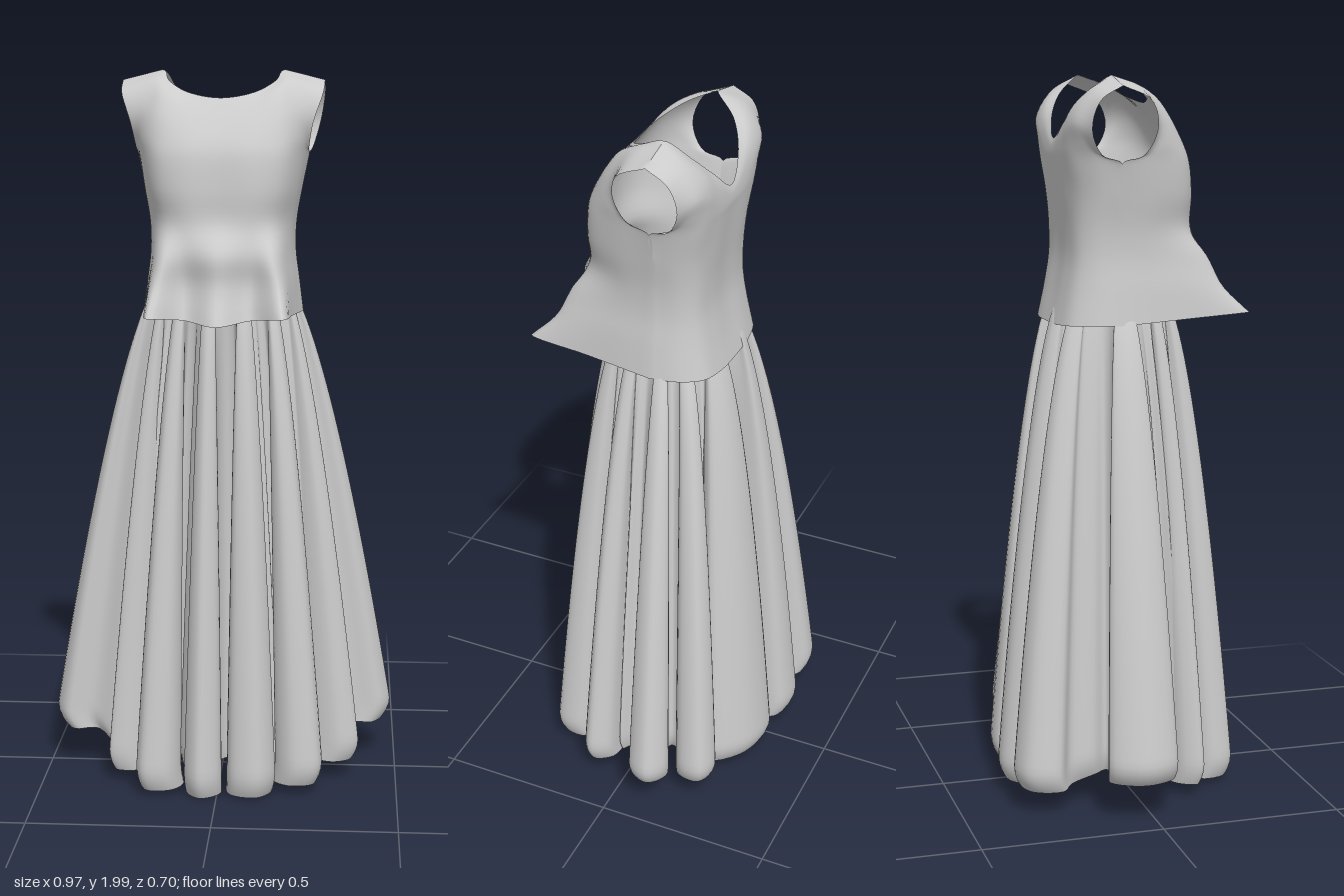
import * as THREE from 'three';
import { mergeGeometries, mergeVertices } from 'three/addons/utils/BufferGeometryUtils.js';

const V = (x, y, z) => new THREE.Vector3(x, y, z);

// Grid surface from rows of points
function gridGeometry(rows, closed) {
  const n = rows[0].length, pos = [], index = [];
  rows.forEach(r => r.forEach(p => pos.push(p.x, p.y, p.z)));
  for (let j = 0; j < rows.length - 1; j++) {
    for (let i = 0; i < (closed ? n : n - 1); i++) {
      const a = j * n + i, b = j * n + (i + 1) % n;
      index.push(a, b, a + n, b, b + n, a + n);
    }
  }
  const g = new THREE.BufferGeometry();
  g.setAttribute('position', new THREE.Float32BufferAttribute(pos, 3));
  g.setIndex(index);
  return g;
}

// Both panels meet on one straight shoulder seam
const NECK = 0.17;
const shoulderPoint = x => [x, 2.0 - 0.25 * (Math.abs(x) - NECK), -0.05];
const shoulder = [shoulderPoint(NECK), shoulderPoint(0.28)];

// Half rows (centre to side) are mirrored, smoothed across, then smoothed upwards
function panel(halfRows, flip) {
  const across = halfRows.map(half => {
    const pts = half.map(p => V(...p));
    const mirrored = pts.slice(1).reverse().map(p => V(-p.x, p.y, p.z));
    return new THREE.CatmullRomCurve3([...mirrored, ...pts]);
  });
  const NX = 48, NY = 40, rows = [];
  for (let j = 0; j <= NY; j++) rows.push([]);
  for (let i = 0; i <= NX; i++) {
    const s = flip ? 1 - i / NX : i / NX;
    const points = across.map(c => c.getPoint(s));
    const end = points[points.length - 1];
    if (Math.abs(end.x) > NECK) end.set(...shoulderPoint(end.x));
    const column = new THREE.CatmullRomCurve3(points);
    for (let j = 0; j <= NY; j++) rows[j].push(column.getPoint(j / NY));
  }
  return gridGeometry(rows, false);
}

// A level row given as [x, z] pairs
const level = (y, pairs) => pairs.map(([x, z]) => [x, y, z]);

function bodiceGeometry() {
  // Front: flared peplum hem, bust, round armhole and round neckline
  const front = [
    [[0, 1.33, 0.315], [0.09, 1.34, 0.25], [0.178, 1.355, 0.345], [0.2, 1.345, 0.16], [0.225, 1.335, -0.03]],
    level(1.43, [[0, 0.265], [0.09, 0.22], [0.165, 0.27], [0.197, 0.12], [0.213, -0.03]]),
    level(1.51, [[0, 0.26], [0.09, 0.225], [0.15, 0.23], [0.19, 0.09], [0.203, -0.03]]),
    level(1.59, [[0, 0.205], [0.09, 0.2], [0.15, 0.165], [0.192, 0.07], [0.205, -0.03]]),
    level(1.68, [[0, 0.2], [0.1, 0.2], [0.165, 0.165], [0.205, 0.08], [0.22, -0.04]]),
    level(1.77, [[0, 0.19], [0.1, 0.19], [0.17, 0.16], [0.215, 0.08], [0.238, -0.04]]),
    [[0, 1.81, 0.175], [0.1, 1.81, 0.175], [0.17, 1.82, 0.145], [0.215, 1.82, 0.09], [0.238, 1.79, 0.02]],
    [[0, 1.86, 0.142], [0.1, 1.87, 0.138], [0.165, 1.89, 0.115], [0.205, 1.89, 0.085], [0.25, 1.86, 0.055]],
    [[0, 1.895, 0.115], [0.09, 1.91, 0.105], [0.155, 1.945, 0.075], [0.19, 1.965, 0.035], [0.275, 1.935, 0.03]],
    [[0, 1.925, 0.09], [0.09, 1.94, 0.07], [0.145, 1.97, 0.02], ...shoulder],
  ];
  // Back: fitted waist, round armhole and V neckline
  const back = [
    [[0, 1.33, -0.19], [0.1, 1.33, -0.185], [0.17, 1.333, -0.165], [0.21, 1.335, -0.11], [0.225, 1.335, -0.03]],
    level(1.43, [[0, -0.165], [0.09, -0.165], [0.16, -0.148], [0.198, -0.1], [0.213, -0.03]]),
    level(1.51, [[0, -0.152], [0.09, -0.152], [0.155, -0.138], [0.188, -0.1], [0.203, -0.03]]),
    level(1.59, [[0, -0.152], [0.09, -0.152], [0.155, -0.138], [0.19, -0.1], [0.205, -0.03]]),
    level(1.68, [[0, -0.16], [0.1, -0.16], [0.17, -0.14], [0.205, -0.1], [0.22, -0.04]]),
    level(1.77, [[0, -0.17], [0.1, -0.17], [0.18, -0.155], [0.22, -0.115], [0.238, -0.04]]),
    [[0, 1.785, -0.172], [0.1, 1.8, -0.173], [0.175, 1.82, -0.165], [0.22, 1.825, -0.145], [0.248, 1.79, -0.095]],
    [[0, 1.8, -0.172], [0.095, 1.835, -0.172], [0.165, 1.87, -0.17], [0.215, 1.88, -0.16], [0.268, 1.86, -0.13]],
    [[0, 1.815, -0.17], [0.088, 1.865, -0.165], [0.15, 1.92, -0.15], [0.2, 1.955, -0.12], [0.28, 1.935, -0.11]],
    [[0, 1.83, -0.165], [0.08, 1.89, -0.148], [0.135, 1.95, -0.11], ...shoulder],
  ];
  const g = mergeVertices(mergeGeometries([panel(front, false), panel(back, true)]), 1e-3);
  g.computeVertexNormals();
  return g;
}

// Hem folds in order round the body: outer tip x, z, half width, then inner valley x, z, half width
const folds = [
  [0.495, -0.13, 0.055, 0.29, 0.0, 0.03],
  [0.4, 0.1, 0.045, 0.22, 0.11, 0.03],
  [0.285, 0.255, 0.06, 0.16, 0.13, 0.03],
  [0.12, 0.315, 0.065, 0.02, 0.05, 0.05],
  [-0.05, 0.32, 0.05, -0.1, 0.06, 0.035],
  [-0.21, 0.3, 0.055, -0.2, 0.15, 0.02],
  [-0.315, 0.18, 0.035, -0.26, 0.1, 0.02],
  [-0.495, -0.04, 0.095, -0.25, -0.09, 0.03],
  [-0.33, -0.335, 0.075, -0.2, -0.16, 0.03],
  [-0.13, -0.36, 0.08, 0.0, -0.08, 0.06],
  [0.16, -0.325, 0.12, 0.2, -0.15, 0.03],
  [0.395, -0.26, 0.055, 0.28, -0.12, 0.03],
];

function skirtGeometry() {
  const tips = folds.map(f => Math.atan2(f[1], f[0]));
  for (let i = 1; i < tips.length; i++) while (tips[i] < tips[i - 1]) tips[i] += 2 * Math.PI;
  const hem = [], waist = [];
  // Points for each tip (five, bulbous) or valley (three), at the hem and at the waist
  const addFold = (x, z, w, outline, lift, a, before, after) => {
    const d = V(x, 0, z).normalize(), p = V(-d.z, 0, d.x);
    const y = 0.01 + 0.075 * (x / 0.48) ** 2 + (z < 0 ? 0.03 : 0) + lift;
    outline.forEach(([k, depth]) => {
      hem.push(V(x, y, z).addScaledVector(d, depth).addScaledVector(p, k * w));
      const b = a + k * (k < 0 ? before : after) * 0.3;
      const r = lift ? 0.95 : 1.03;
      waist.push(V(0.172 * r * Math.cos(b), 1.42, -0.008 + 0.14 * r * Math.sin(b)));
    });
  };
  const bulb = [[-0.85, -0.12], [-1, -0.045], [0, 0], [1, -0.045], [0.85, -0.12]];
  const dip = [[-1, 0.04], [0, 0], [1, 0.04]];
  const n = folds.length;
  folds.forEach(([x, z, w, vx, vz, vw], i) => {
    const prev = i ? tips[i - 1] : tips[n - 1] - 2 * Math.PI;
    const next = i < n - 1 ? tips[i + 1] : tips[0] + 2 * Math.PI;
    const a = tips[i], before = (a - prev) / 2, after = (next - a) / 2;
    addFold(x, z, w, bulb, 0, a, before, after);
    addFold(vx, vz, vw, dip, 0.03, a + after, after, after);
  });
  const top = new THREE.CatmullRomCurve3(waist, true), low = new THREE.CatmullRomCurve3(hem, true);
  const N = 480, M = 44, rows = [], tops = [], lows = [];
  for (let i = 0; i < N; i++) { tops.push(top.getPoint(i / N)); lows.push(low.getPoint(i / N)); }
  for (let j = 0; j <= M; j++) {
    const t = 1 - (1 - j / M) ** 1.3, sx = t ** 0.68, sz = t ** 0.56;
    // The hem curls under slightly
    const curl = 1 - 0.07 * Math.max(0, (t - 0.95) / 0.05) ** 2;
    rows.push(tops.map((p, i) => {
      const q = lows[i];
      return V((p.x + (q.x - p.x) * sx) * curl, p.y + (q.y - p.y) * t, (p.z + (q.z - p.z) * sz) * curl);
    }));
  }
  const g = gridGeometry(rows, true);
  g.computeVertexNormals();
  return g;
}

export function createModel() {
  const group = new THREE.Group();
  group.name = 'dress';
  const cloth = new THREE.MeshStandardMaterial({ color: 0xcccccc, side: THREE.DoubleSide });
  const add = (name, geometry) => {
    const mesh = new THREE.Mesh(geometry, cloth);
    mesh.name = name;
    group.add(mesh);
  };
  add('bodice', bodiceGeometry());
  add('pleatedSkirt', skirtGeometry());
  return group;
}
